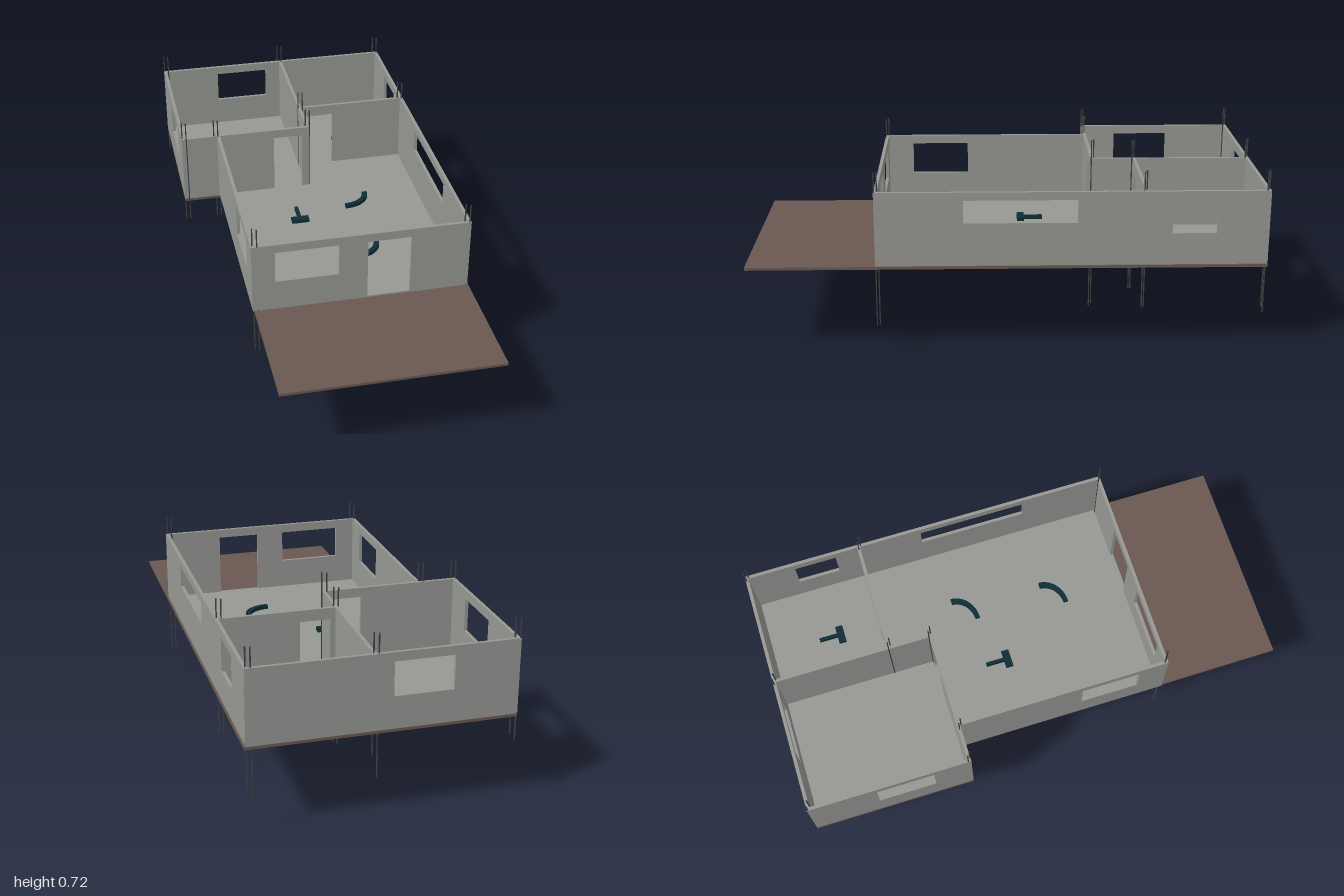
import * as THREE from 'three';

const BASE = 0.354, TOP = 0.642, THICK = 0.013;

function material(name, color) {
  const m = new THREE.MeshStandardMaterial({ color });
  m.name = name;
  return m;
}

export function createModel() {
  const model = new THREE.Group();
  model.name = 'openHousePlan';
  const grey = material('concreteGrey', 0x969893);
  const brown = material('deckBrown', 0x6a5850);
  const dark = material('postCharcoal', 0x3f4142);
  const teal = material('darkTeal', 0x0e2c35);

  function add(name, geometry, mat, parent = model) {
    const mesh = new THREE.Mesh(geometry, mat);
    mesh.name = name;
    parent.add(mesh);
    return mesh;
  }

  // Flat slab from plan points (x, z), between two heights
  function slab(name, points, y0, y1, mat) {
    const shape = new THREE.Shape(points.map(([x, z]) => new THREE.Vector2(x, -z)));
    const g = new THREE.ExtrudeGeometry(shape, { depth: y1 - y0, bevelEnabled: false, curveSegments: 12 });
    g.rotateX(-Math.PI / 2).translate(0, y0, 0);
    return add(name, g, mat);
  }

  // Base slab with the front deck, and the indoor floor on top of it
  slab('deckSlab', [[-0.505, -1], [0.503, -1], [0.503, 1], [-0.345, 1], [-0.352, -0.352], [-0.505, -0.352]],
    0.338, 0.349, brown);
  slab('indoorFloor', [[-0.503, -0.998], [0.497, -0.998], [0.497, 0.502], [-0.353, 0.502], [-0.353, -0.352], [-0.503, -0.352]],
    0.349, 0.3555, grey);

  // Wall along x or z; doors are notches [from, to, top], windows are holes [from, to, bottom, top]
  function wall(name, axis, at, from, to, { windows = [], doors = [] } = {}) {
    const s = new THREE.Shape();
    s.moveTo(from, BASE);
    for (const [a, b, top] of doors) {
      s.lineTo(a, BASE);
      s.lineTo(a, top);
      s.lineTo(b, top);
      s.lineTo(b, BASE);
    }
    s.lineTo(to, BASE);
    s.lineTo(to, TOP);
    s.lineTo(from, TOP);
    s.closePath();
    for (const [a, b, lo, hi] of windows) {
      const h = new THREE.Path();
      h.moveTo(a, lo);
      h.lineTo(a, hi);
      h.lineTo(b, hi);
      h.lineTo(b, lo);
      h.closePath();
      s.holes.push(h);
    }
    const g = new THREE.ExtrudeGeometry(s, { depth: THICK, bevelEnabled: false });
    g.translate(0, 0, -THICK / 2);
    if (axis === 'z') g.rotateY(-Math.PI / 2).translate(at, 0, 0);
    else g.translate(0, 0, at);
    add(name, g, grey);
  }

  const LO = 0.475, HI = 0.607;
  // Outer walls
  wall('frontWall', 'x', 0.496, -0.355, 0.499,
    { windows: [[-0.265, -0.017, LO, HI]], doors: [[0.095, 0.265, HI]] });
  wall('backWall', 'x', -0.993, -0.505, 0.499, { windows: [[-0.26, -0.035, LO, HI]] });
  wall('longSideWall', 'z', 0.493, -0.9865, 0.4895,
    { windows: [[-0.27, 0.165, 0.52, 0.61], [-0.8, -0.63, LO, HI]] });
  wall('bedroomSideWall', 'z', -0.4985, -0.9865, -0.3635, { windows: [[-0.73, -0.5, LO, HI]] });
  wall('livingSideWall', 'z', -0.3485, -0.3505, 0.4895, { windows: [[0.15, 0.385, LO, HI]] });
  // Inner walls
  wall('bedroomFrontWall', 'x', -0.357, -0.505, 0.0415, { doors: [[-0.113, 0.01, 0.605]] });
  wall('bedroomDividingWall', 'z', 0.035, -0.9865, -0.3635);
  wall('backRoomWall', 'x', -0.53, 0.0415, 0.4865, { doors: [[0.062, 0.18, 0.597]] });

  // Thin rods at the wall corners: x, z, lower ends of the rods
  const corners = [
    [-0.494, -0.99, 0.24, 0.265],
    [-0.494, -0.357, 0.24, 0.25],
    [-0.36, -0.352, 0.245, 0.25],
    [-0.34, 0.495, 0.16, 0.16],
    [0.035, -0.36, 0.005, 0.0],
    [0.037, -0.525, 0.072, 0.075],
    [0.03, -0.99, 0.16, 0.25],
    [0.484, -0.525, 0.165, 0.17],
    [0.484, -0.99, 0.14, 0.17],
    [0.484, 0.495, 0.102, 0.102],
  ];
  const rods = new THREE.Group();
  rods.name = 'cornerRods';
  model.add(rods);
  corners.forEach(([x, z, ...ends]) => {
    ends.forEach((end, i) => {
      const side = i ? 1 : -1;
      const g = new THREE.BoxGeometry(0.0045, 0.718 - end, 0.0045);
      g.translate(x + side * 0.008, (0.718 + end) / 2, z + side * 0.005);
      add('cornerRod', g, dark, rods);
    });
  });

  // T-shaped floor fittings
  const FLOOR = 0.352, FITTING_TOP = 0.371;
  for (const [x, z] of [[0.255, -0.7], [-0.055, -0.07]]) {
    slab('tFitting', [
      [x - 0.036, z + 0.015], [x + 0.036, z + 0.015], [x + 0.036, z - 0.015], [x + 0.007, z - 0.015],
      [x + 0.007, z - 0.09], [x - 0.007, z - 0.09], [x - 0.007, z - 0.015], [x - 0.036, z - 0.015],
    ], FLOOR, FITTING_TOP, teal);
  }

  // Quarter-ring floor fittings
  for (const [x, z] of [[0.155, -0.22], [0.115, 0.155]]) {
    const points = [];
    const steps = 12;
    for (const [r, dir] of [[0.112, 1], [0.09, -1]]) {
      for (let i = 0; i <= steps; i++) {
        const a = (dir > 0 ? i : steps - i) / steps * Math.PI / 2;
        points.push([x + r * Math.cos(a), z + 0.85 * r * Math.sin(a)]);
      }
    }
    slab('curvedFitting', points, FLOOR, FITTING_TOP, teal);
  }

  return model;
}
